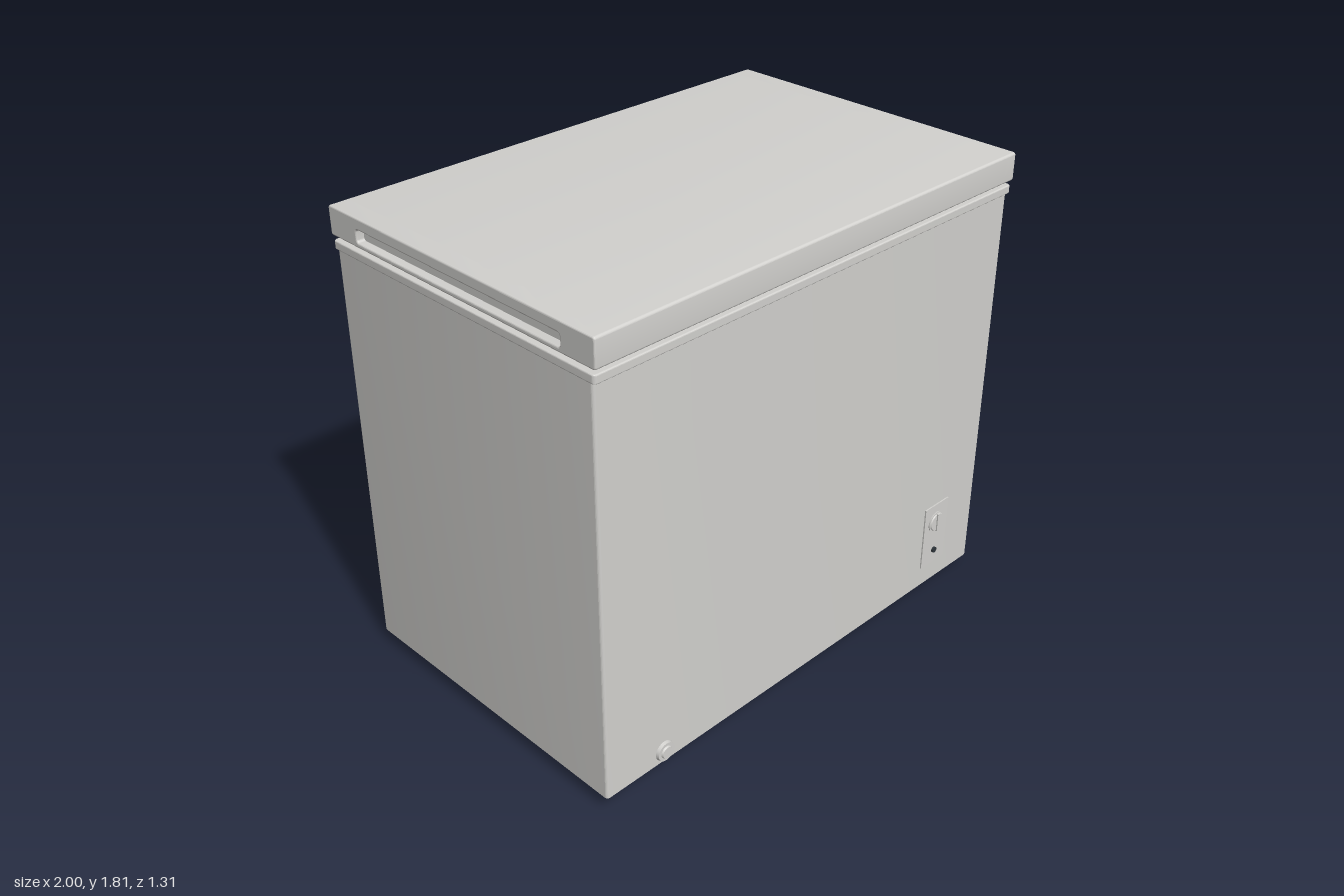
import * as THREE from 'three';
import { toCreasedNormals } from 'three/addons/utils/BufferGeometryUtils.js';

// Rounded rectangle centred on (cx, cy)
function roundRect(Type, w, h, r, cx = 0, cy = 0) {
  const s = new Type(), x = w / 2, y = h / 2;
  s.absarc(cx + x - r, cy + y - r, r, 0, Math.PI / 2);
  s.absarc(cx - x + r, cy + y - r, r, Math.PI / 2, Math.PI);
  s.absarc(cx - x + r, cy - y + r, r, Math.PI, Math.PI * 1.5);
  s.absarc(cx + x - r, cy - y + r, r, Math.PI * 1.5, Math.PI * 2);
  s.closePath();
  return s;
}

// Extrusion whose large faces keep flat normals beside the small rounded edges
function extrude(shape, depth, bevel = 0) {
  const g = new THREE.ExtrudeGeometry(shape, {
    depth: depth - 2 * bevel, curveSegments: 5, bevelEnabled: bevel > 0,
    bevelSize: bevel, bevelThickness: bevel, bevelOffset: -bevel, bevelSegments: 3,
  });
  g.translate(0, 0, bevel);
  return toCreasedNormals(g, 0.1);
}

export function createModel() {
  const group = new THREE.Group();
  const material = (name, color) => {
    const m = new THREE.MeshStandardMaterial({ color });
    m.name = name;
    return m;
  };
  const enamel = material('light grey enamel', 0xd2d1ce);
  const rubber = material('dark rubber', 0x2d343a);

  const add = (name, geometry, mat, x = 0, y = 0, z = 0) => {
    const mesh = new THREE.Mesh(geometry, mat);
    mesh.name = name;
    mesh.position.set(x, y, z);
    group.add(mesh);
  };
  // Horizontal slab with rounded vertical corners, from y0 to y1
  const slab = (name, w, d, r, y0, y1, bevel = 0, wall = 0) => {
    const s = roundRect(THREE.Shape, w, d, r);
    if (wall) s.holes.push(roundRect(THREE.Path, w - 2 * wall, d - 2 * wall, r - wall));
    add(name, extrude(s, y1 - y0, bevel).rotateX(-Math.PI / 2), enamel, 0, y0, 0);
  };
  // Disc facing the front, from z0 to z1
  const disc = (name, r, x, y, z0, z1, mat = enamel, rFront = r) =>
    add(name, new THREE.CylinderGeometry(rFront, r, z1 - z0, 32).rotateX(Math.PI / 2),
      mat, x, y, (z0 + z1) / 2);
  // Box given by its centre in x and y and its extent in z
  const plate = (name, w, h, x, y, z0, z1) =>
    add(name, new THREE.BoxGeometry(w, h, z1 - z0), enamel, x, y, (z0 + z1) / 2);

  // Cabinet: thin walls open underneath, with a raised floor
  slab('cabinetWalls', 1.99, 1.275, 0.012, 0.058, 1.665, 0, 0.003);
  slab('cabinetFloor', 1.986, 1.271, 0.008, 0.35, 0.37);
  slab('topRim', 2, 1.3, 0.014, 1.655, 1.688, 0.005);
  slab('lidSeal', 1.935, 1.25, 0.014, 1.685, 1.712);

  // Lid: solid middle, with end caps holed for the recessed grips
  const lidHeight = 0.107, lidDepth = 1.312, lidY = 1.704 + lidHeight / 2;
  const lidProfile = () => roundRect(THREE.Shape, lidDepth, lidHeight, 0.01);
  add('lidMiddle', extrude(lidProfile(), 1.94).rotateY(Math.PI / 2), enamel, -0.97, lidY, 0);
  for (const side of [-1, 1]) {
    const s = lidProfile();
    s.holes.push(roundRect(THREE.Path, 1.01, 0.046, 0.01, 0, -0.012));
    const end = extrude(s, 0.08, 0.006).rotateY(Math.PI / 2);
    add(side > 0 ? 'leftLidEnd' : 'rightLidEnd', end, enamel, side > 0 ? 0.92 : -1, lidY, 0);
  }

  // Hinge plates on the back, hanging below the rim
  for (const side of [-1, 1]) plate('hinge', 0.15, 0.08, side * 0.645, 1.63, -0.647, -0.63);

  // Feet
  for (const x of [-0.815, 0.815]) for (const z of [-0.485, 0.485]) {
    const foot = extrude(roundRect(THREE.Shape, 0.12, 0.092, 0.012), 0.06, 0.005);
    add('foot', foot.rotateX(-Math.PI / 2), rubber, x, 0, z);
  }

  // Control panel with dial and indicator
  const front = 0.636;
  plate('controlPanel', 0.14, 0.275, 0.75, 0.283, front, 0.643);
  disc('dialBase', 0.045, 0.75, 0.34, front, 0.647);
  disc('dial', 0.039, 0.75, 0.34, 0.647, 0.651, enamel, 0.036);
  plate('dialGrip', 0.011, 0.078, 0.75, 0.34, front, 0.656);
  disc('indicator', 0.012, 0.75, 0.205, front, 0.651, rubber);

  // Drain plug
  disc('drainCollar', 0.04, -0.73, 0.105, front, 0.649, enamel, 0.037);
  disc('drainCap', 0.025, -0.73, 0.105, 0.649, 0.655, enamel, 0.022);

  return group;
}
